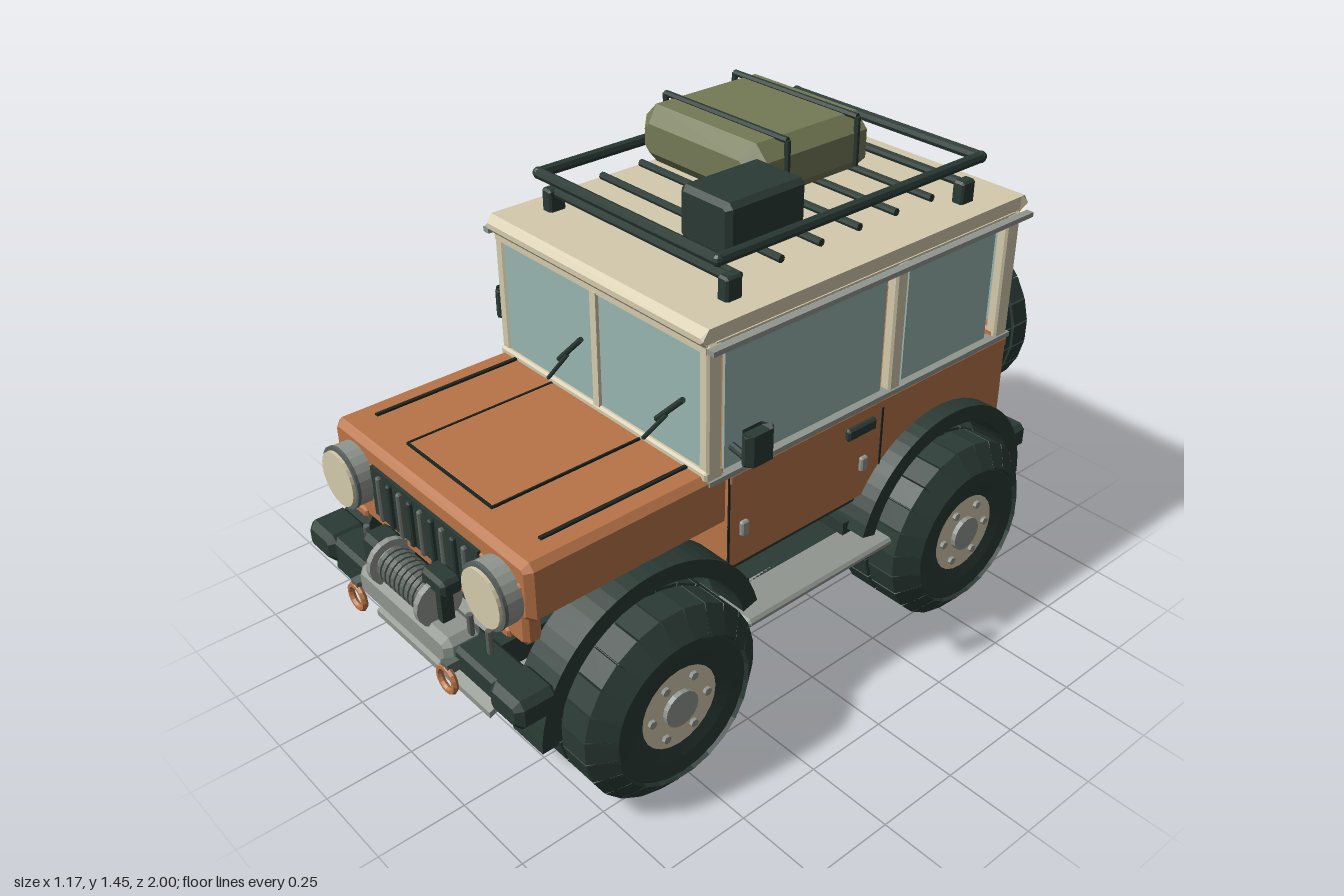
import * as THREE from 'three';
import { mergeGeometries } from 'three/addons/utils/BufferGeometryUtils.js';

const mat = (name, color) => {
  const m = new THREE.MeshStandardMaterial({ color, flatShading: true });
  m.name = name;
  return m;
};
const outline = pts => new THREE.Shape(pts.map(p => new THREE.Vector2(...p)));

export function createModel() {
  const orange = mat('orange paint', 0xb87447), dark = mat('dark green rubber', 0x2a3a34);
  const cream = mat('cream paint', 0xd4caad), olive = mat('olive canvas', 0x747a56);
  const glass = mat('window glass', 0x99b6b0), grey = mat('grey metal', 0x90968f);
  const steel = mat('dark steel', 0x5c6560), black = mat('seam black', 0x1c2521);
  const root = new THREE.Group();
  root.name = 'offRoader';

  const add = (name, geo, material, pos = [0, 0, 0], parent = root) => {
    const m = new THREE.Mesh(geo, material);
    m.name = name;
    m.position.set(...pos);
    parent.add(m);
    return m;
  };
  // Box given by its ranges, with all edges optionally chamfered
  const box = (name, material, [xa, xb], [y0, y1], [za, zb], c = 0) => {
    const w = Math.abs(xb - xa), h = y1 - y0, d = Math.abs(zb - za);
    let geo;
    if (c) {
      const a = w / 2 - c, b = h / 2 - c, k = c * 0.414;
      const s = outline([[-a + k, -b], [a - k, -b], [a, -b + k], [a, b - k], [a - k, b], [-a + k, b], [-a, b - k], [-a, -b + k]]);
      geo = new THREE.ExtrudeGeometry(s, { depth: d - 2 * c, bevelSize: c, bevelThickness: c, bevelSegments: 1 });
      geo.translate(0, 0, c - d / 2);
    } else geo = new THREE.BoxGeometry(w, h, d);
    return add(name, geo, material, [(xa + xb) / 2, (y0 + y1) / 2, (za + zb) / 2]);
  };
  // Round bar between two points
  const rod = (name, material, a, b, r, seg = 8, parent = root) => {
    const p = new THREE.Vector3(...a), q = new THREE.Vector3(...b), dir = q.clone().sub(p);
    const m = add(name, new THREE.CylinderGeometry(r, r, dir.length(), seg), material, p.clone().add(q).divideScalar(2).toArray(), parent);
    m.quaternion.setFromUnitVectors(new THREE.Vector3(0, 1, 0), dir.normalize());
    return m;
  };
  // Side outline (z, y) extruded across x
  const across = (name, material, shape, x0, x1) => {
    const geo = new THREE.ExtrudeGeometry(shape, { depth: x1 - x0, bevelEnabled: false, curveSegments: 14 });
    geo.rotateY(-Math.PI / 2).translate(x1, 0, 0);
    return add(name, geo, material);
  };
  const sides = f => [-1, 1].forEach(f);

  // Tyre with two rows of tread blocks, axle along x
  const makeTyre = (R, half, shoulder, drop) => {
    const edge = [[0.12, 0.85 * half], [0.16, 0.92 * half], [R - drop - 0.008, 0.95 * half], [R - 0.009, half - shoulder - 0.004]];
    const profile = [...edge.map(([r, x]) => [r, -x]), ...edge.reverse()];
    const carcass = new THREE.LatheGeometry(profile.map(p => new THREE.Vector2(...p)), 24).rotateZ(-Math.PI / 2).toNonIndexed();
    const block = outline([[0.006, R - 0.035], [half * 0.83, R - drop - 0.012], [half, R - drop], [half - shoulder, R], [0.006, R]]);
    const width = Math.PI * 2 * R / 24 * 0.93, parts = [carcass];
    for (let i = 0; i < 24; i++) sides(s => {
      const g = new THREE.ExtrudeGeometry(block, { depth: width, bevelEnabled: false }).translate(0, 0, -width / 2);
      if (s < 0) g.rotateY(Math.PI);
      parts.push(g.rotateX(i / 24 * Math.PI * 2));
    });
    return mergeGeometries(parts);
  };
  // Wheels, built with the outer face towards +x
  const wheel = (name, tyreGeo, rimBack, rimFace, rimRadius, nuts) => {
    const g = new THREE.Group();
    g.name = name;
    add('tyre', tyreGeo, dark, [0, 0, 0], g);
    rod('rim', cream, [rimBack, 0, 0], [rimFace, 0, 0], rimRadius, 24, g);
    rod('hub', grey, [rimFace, 0, 0], [rimFace + 0.014, 0, 0], 0.052, 16, g);
    for (let i = 0; i < nuts; i++) {
      const a = i / nuts * Math.PI * 2 + Math.PI / 6, y = Math.cos(a) * 0.09, z = Math.sin(a) * 0.09;
      rod('wheelNut', grey, [rimFace, y, z], [rimFace + 0.01, y, z], 0.012, 6, g);
    }
    root.add(g);
    return g;
  };
  const roadTyre = makeTyre(0.275, 0.144, 0.048, 0.062);
  for (const z of [0.55, -0.54]) {
    sides(s => {
      const w = wheel('wheel', roadTyre, -0.1, 0.12, 0.132, 6);
      w.position.set(s * 0.443, 0.275, z);
      if (s < 0) w.rotation.y = Math.PI;
      // Wheel arch flare
      const a0 = z > 0 ? 0 : 0.26, a1 = z > 0 ? Math.PI - 0.26 : Math.PI;
      const arch = new THREE.Shape();
      arch.absarc(z, 0.285, 0.355, a0, a1, false);
      arch.absarc(z, 0.285, 0.305, a1, a0, true);
      across('archFlare', dark, arch, s > 0 ? 0.36 : -0.48, s > 0 ? 0.48 : -0.36);
      rod('shockAbsorber', steel, [s * 0.26, 0.28, z - 0.06], [s * 0.25, 0.5, z - 0.04], 0.022);
    });
    rod('axle', dark, [-0.36, 0.275, z], [0.36, 0.275, z], 0.035, 10);
    const diff = add('differential', new THREE.SphereGeometry(0.085, 12, 8), dark, [0, 0.272, z]);
    diff.scale.set(1.2, 0.95, 1);
  }
  const spare = wheel('spareWheel', makeTyre(0.26, 0.079, 0.012, 0.012), -0.06, 0.096, 0.12, 0);
  spare.rotation.y = Math.PI / 2;
  spare.position.set(0.145, 0.725, -0.89);
  spare.rotation.y = Math.PI / 2;

  // Lower body with rear arch cut-outs
  const tub = new THREE.Shape();
  tub.moveTo(-0.83, 0.49).lineTo(-0.80, 0.49);
  tub.absarc(-0.54, 0.28, 0.334, Math.PI - 0.68, 0.62, true);
  tub.lineTo(0.265, 0.475).lineTo(0.265, 0.77).lineTo(-0.83, 0.77);
  across('bodyTub', orange, tub, -0.425, 0.425);
  box('rearBench', olive, [-0.25, 0.25], [0.5, 0.62], [-0.68, -0.5]);
  box('bonnet', orange, [-0.43, 0.43], [0.62, 0.792], [0.262, 0.878], 0.018);
  box('frontPanel', orange, [-0.41, 0.41], [0.55, 0.74], [0.83, 0.882], 0.012);
  box('bonnetCentre', orange, [-0.185, 0.185], [0.78, 0.797], [0.35, 0.8], 0.004);
  box('engineBlock', dark, [-0.2, 0.2], [0.42, 0.5], [0.27, 0.79]);
  box('bonnetEdge', black, [-0.187, 0.187], [0.79, 0.799], [0.799, 0.805]);
  box('tailgateTop', orange, [-0.425, 0.425], [0.765, 0.8], [-0.83, -0.77], 0.008);
  sides(s => {
    box('bonnetSeam', black, [s * 0.352, s * 0.363], [0.788, 0.798], [0.34, 0.79]);
    box('bonnetSeam', black, [s * 0.183, s * 0.188], [0.79, 0.799], [0.35, 0.8]);
    for (const z of [0.262, -0.305]) box('doorSeam', black, [s * 0.424, s * 0.428], [0.48, 0.765], [z - 0.003, z + 0.003]);
    box('waistRail', orange, [s * 0.42, s * 0.434], [0.735, 0.765], [-0.825, 0.262], 0.004);
    box('doorHandle', dark, [s * 0.425, s * 0.445], [0.688, 0.725], [-0.265, -0.155], 0.006);
    for (const z of [0.21, -0.235]) box('doorHinge', grey, [s * 0.42, s * 0.437], [0.56, 0.605], [z - 0.013, z + 0.013], 0.004);
    box('sideStrip', grey, [s * 0.4, s * 0.436], [0.765, 0.78], [-0.83, 0.335]);
    // Rear lamps
    box('lampPanel', dark, [s * 0.35, s * 0.415], [0.59, 0.755], [-0.842, -0.83]);
    for (const y of [0.63, 0.71]) box('rearLamp', orange, [s * 0.362, s * 0.403], [y - 0.022, y + 0.022], [-0.85, -0.842]);
  });

  // Cab frame and windows
  box('windscreenBase', cream, [-0.43, 0.43], [0.775, 0.808], [0.285, 0.345], 0.006);
  box('windscreenHeader', cream, [-0.425, 0.425], [1.135, 1.16], [0.285, 0.34]);
  box('windscreenDivider', cream, [-0.012, 0.012], [0.8, 1.14], [0.31, 0.343]);
  box('rearHeader', cream, [-0.425, 0.425], [1.13, 1.16], [-0.825, -0.78]);
  sides(s => {
    for (const [a, b] of [[0.29, 0.338], [-0.365, -0.32], [-0.825, -0.77]])
      box('pillar', cream, [s * 0.395, s * 0.43], [0.77, 1.16], [a, b], 0.006);
    box('sideHeader', cream, [s * 0.395, s * 0.428], [1.135, 1.16], [-0.8, 0.31]);
    box('windscreenPane', glass, [s * 0.012, s * 0.405], [0.805, 1.135], [0.325, 0.333]);
    box('doorWindow', glass, [s * 0.41, s * 0.418], [0.785, 1.125], [-0.295, 0.273]);
    box('rearSideWindow', glass, [s * 0.41, s * 0.418], [0.785, 1.125], [-0.735, -0.38]);
    box('seatBack', olive, [s * 0.08, s * 0.33], [0.77, 0.9], [-0.31, -0.24], 0.02);
    box('headrest', olive, [s * 0.13, s * 0.28], [0.94, 1.05], [-0.32, -0.25], 0.02);
    box('gutter', grey, [s * 0.44, s * 0.463], [1.148, 1.162], [-0.835, 0.35]);
    // Wing mirrors and wipers
    rod('mirrorArm', dark, [s * 0.42, 0.845, 0.25], [s * 0.5, 0.832, 0.25], 0.011);
    box('wingMirror', dark, [s * 0.487, s * 0.53], [0.83, 0.95], [0.2, 0.295], 0.016);
    const x = s > 0 ? 0.2 : -0.2;
    rod('wiperArm', dark, [x, 0.805, 0.35], [x + 0.085, 0.91, 0.345], 0.006);
    rod('wiperBlade', dark, [x + 0.045, 0.88, 0.343], [x + 0.145, 0.98, 0.343], 0.008);
  });
  box('rearWindow', glass, [-0.4, 0.4], [0.795, 1.135], [-0.818, -0.81]);
  box('roof', cream, [-0.455, 0.455], [1.152, 1.207], [-0.845, 0.36], 0.02);

  // Front end: grille, headlamps, winch, bumper
  box('grille', dark, [-0.24, 0.24], [0.59, 0.738], [0.87, 0.887]);
  for (let i = -4; i <= 4; i++) box('grilleSlat', i % 2 ? dark : steel, [i * 0.048 - 0.008, i * 0.048 + 0.008], [0.595, 0.73], [0.885, 0.9], 0.004);
  sides(s => {
    rod('lampHousing', grey, [s * 0.322, 0.678, 0.86], [s * 0.322, 0.678, 0.925], 0.086, 24);
    rod('lampBezel', steel, [s * 0.322, 0.678, 0.922], [s * 0.322, 0.678, 0.931], 0.088, 24);
    rod('lampLens', cream, [s * 0.322, 0.678, 0.928], [s * 0.322, 0.678, 0.94], 0.077, 24);
    box('bumperEnd', dark, [s * 0.36, s * 0.49], [0.39, 0.475], [0.85, 0.97], 0.018);
    add('towRing', new THREE.TorusGeometry(0.034, 0.009, 6, 16), orange, [s * 0.21, 0.388, 0.985]);
    box('ringMount', steel, [s * 0.195, s * 0.225], [0.41, 0.44], [0.95, 0.99]);
    box('bodyMount', orange, [s * 0.29, s * 0.35], [0.545, 0.575], [0.83, 0.89], 0.006);
    for (const x of [0.2, 0.28]) rod('bumperPin', steel, [s * x, 0.46, 0.9], [s * x, 0.535, 0.9], 0.009);
    rod('winchFlange', grey, [s * 0.1, 0.535, 0.93], [s * 0.118, 0.535, 0.93], 0.066, 16);
  });
  box('frontBumper', dark, [-0.4, 0.4], [0.395, 0.468], [0.86, 0.955], 0.012);
  box('winchPlate', grey, [-0.21, 0.21], [0.4, 0.49], [0.87, 0.978], 0.018);
  box('winchMotor', dark, [-0.2, -0.118], [0.49, 0.59], [0.88, 0.96], 0.014);
  box('winchPost', dark, [0.118, 0.14], [0.48, 0.59], [0.905, 0.94]);
  box('winchControl', dark, [0.07, 0.17], [0.58, 0.63], [0.89, 0.95], 0.01);
  rod('winchDrum', grey, [-0.1, 0.535, 0.93], [0.1, 0.535, 0.93], 0.045, 16);
  for (let i = -4; i <= 4; i++) rod('winchCable', steel, [i * 0.021 - 0.007, 0.535, 0.93], [i * 0.021 + 0.007, 0.535, 0.93], 0.051, 16);
  across('skidPlate', grey, outline([[0.91, 0.25], [0.91, 0.268], [0.87, 0.285], [0.68, 0.34], [0.68, 0.322], [0.87, 0.265]]), -0.265, 0.265);

  // Chassis and steps
  box('floor', dark, [-0.41, 0.41], [0.45, 0.478], [-0.27, 0.265]);
  box('rearFloor', dark, [-0.28, 0.28], [0.45, 0.5], [-0.82, -0.27]);
  sides(s => {
    box('chassisRail', dark, [s * 0.2, s * 0.26], [0.37, 0.45], [-0.84, 0.87]);
    box('sill', dark, [s * 0.3, s * 0.41], [0.232, 0.36], [-0.27, 0.27], 0.012);
    rod('sillTube', grey, [s * 0.39, 0.226, -0.28], [s * 0.39, 0.226, 0.28], 0.012);
    box('sideStep', grey, [s * 0.38, s * 0.52], [0.335, 0.36], [-0.28, 0.27], 0.008);
    for (const z of [-0.2, 0.2]) box('stepBracket', dark, [s * 0.2, s * 0.42], [0.31, 0.4], [z - 0.02, z + 0.02]);
  });
  for (const z of [-0.7, -0.3, 0.02, 0.3, 0.75]) box('crossMember', dark, [-0.22, 0.22], [0.375, 0.435], [z - 0.025, z + 0.025]);
  box('transferCase', dark, [-0.1, 0.12], [0.27, 0.44], [-0.1, 0.12], 0.02);
  rod('frontDriveshaft', grey, [0.03, 0.32, 0.1], [0.03, 0.28, 0.5], 0.02);
  rod('rearDriveshaft', grey, [0, 0.32, -0.1], [0, 0.28, -0.48], 0.02);
  rod('exhaust', grey, [-0.16, 0.34, 0.3], [-0.16, 0.34, -0.86], 0.02);

  // Rear bumper and fuel can
  box('rearBumper', dark, [-0.48, 0.48], [0.37, 0.45], [-0.92, -0.82], 0.015);
  box('spareMount', dark, [0.05, 0.24], [0.6, 0.85], [-0.85, -0.82]);
  box('fuelCan', olive, [-0.34, -0.18], [0.54, 0.82], [-0.935, -0.85], 0.018);
  box('fuelCanHandle', olive, [-0.3, -0.2], [0.815, 0.845], [-0.91, -0.875], 0.008);
  rod('fuelCanCap', olive, [-0.315, 0.81, -0.89], [-0.315, 0.855, -0.89], 0.018);
  sides(s => rod('fuelCanRib', olive, [-0.26 - s * 0.05, 0.58, -0.936], [-0.26 + s * 0.05, 0.78, -0.936], 0.007, 6));
  box('fuelCanStrap', dark, [-0.345, -0.175], [0.672, 0.688], [-0.94, -0.83]);

  // Roof rack
  const ring = [[-0.35, -0.722], [0.35, -0.722], [0.35, 0.237], [-0.35, 0.237]];
  ring.forEach(([x, z], i) => {
    const [x2, z2] = ring[(i + 1) % 4];
    rod('rackRail', dark, [x, 1.32, z], [x2, 1.32, z2], 0.016);
    add('rackCorner', new THREE.SphereGeometry(0.017, 8, 6), dark, [x, 1.32, z]);
  });
  for (let i = 0; i < 6; i++) rod('rackSlat', dark, [-0.35, 1.255, 0.166 - i * 0.139], [0.35, 1.255, 0.166 - i * 0.139], 0.011);
  for (const z of [0.195, -0.665]) {
    rod('rackBeam', dark, [-0.36, 1.258, z], [0.36, 1.258, z], 0.013);
    sides(s => box('rackFoot', dark, [s * 0.328, s * 0.366], [1.2, 1.27], [z - 0.027, z + 0.027], 0.006));
  }

  // Luggage
  box('duffelBag', olive, [-0.345, 0.132], [1.27, 1.435], [-0.543, -0.088], 0.042);
  box('bagTag', cream, [-0.14, -0.07], [1.335, 1.37], [-0.55, -0.543]);
  for (const z of [-0.2, -0.46]) {
    const pts = [[-0.345, 1.3, z], [-0.345, 1.438, z], [0.133, 1.438, z], [0.133, 1.3, z]];
    for (let i = 0; i < 3; i++) rod('bagStrap', dark, pts[i], pts[i + 1], 0.009, 6);
  }
  box('storageCase', dark, [0.125, 0.308], [1.275, 1.42], [-0.1, 0.165], 0.014);
  return root;
}
